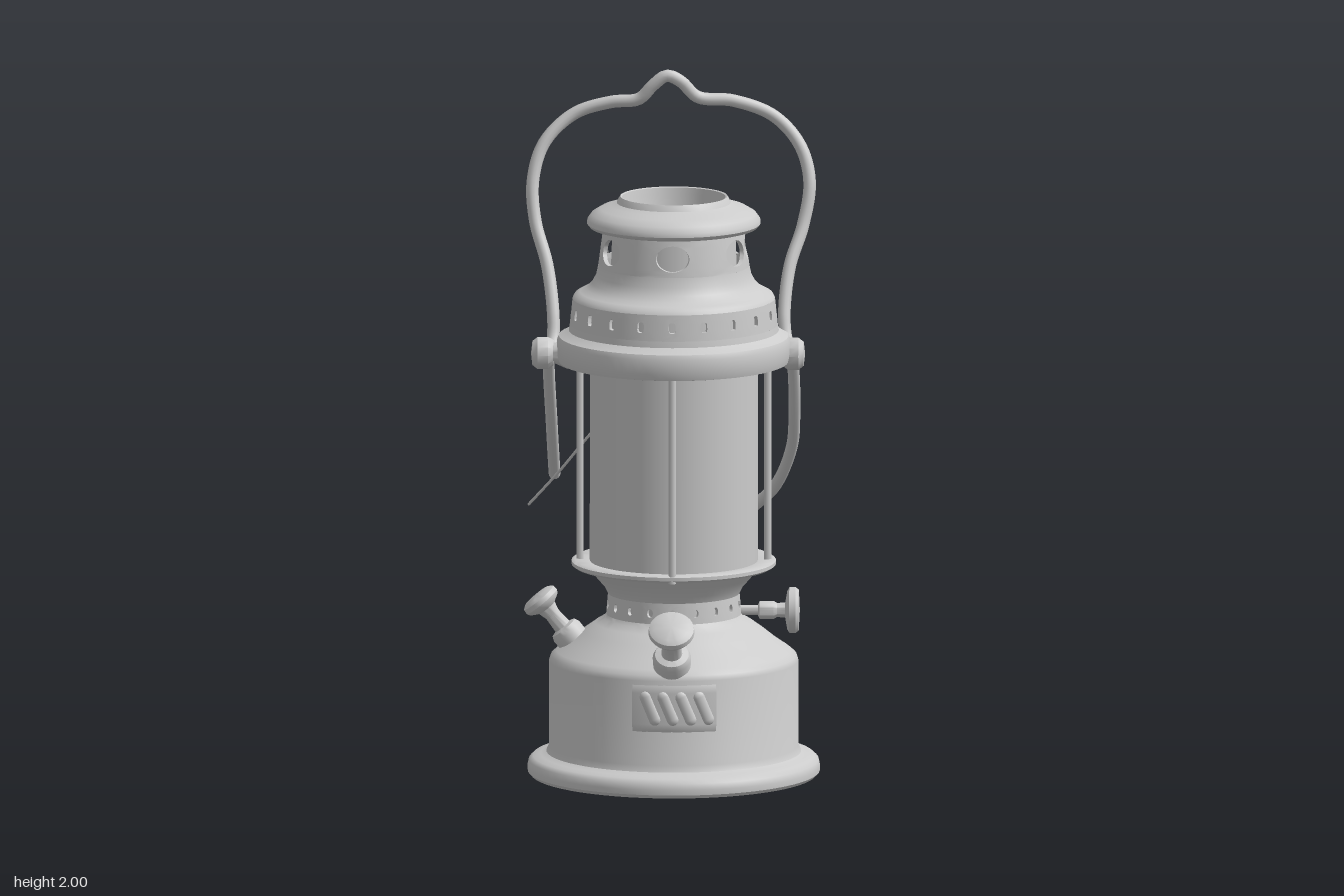
import * as THREE from 'three';
import { toCreasedNormals } from 'three/addons/utils/BufferGeometryUtils.js';

const mat = new THREE.MeshStandardMaterial({ color: 0xcccccc, side: THREE.DoubleSide });

function add(parent, name, geo) {
  const mesh = new THREE.Mesh(geo, mat);
  mesh.name = name;
  parent.add(mesh);
  return mesh;
}

const vec2 = pts => pts.map(p => new THREE.Vector2(...p));

// Turned part from [radius, height] pairs
const turned = (pts, segments = 64) => toCreasedNormals(new THREE.LatheGeometry(vec2(pts), segments), 0.65);

// Round bar through [x, y, z] points, with rounded ends
function bar(parent, name, pts, r, steps) {
  const v = pts.map(p => new THREE.Vector3(...p));
  add(parent, name, new THREE.TubeGeometry(new THREE.CatmullRomCurve3(v), steps, r, 12));
  for (const end of [v[0], v[v.length - 1]])
    add(parent, name + 'End', new THREE.SphereGeometry(r, 12, 8)).position.copy(end);
}

// Conical wall pierced by rounded holes at the given angles (radians from +z towards +x)
function piercedBand(y0, y1, r0, r1, angles, halfW, halfH, power, n = 32) {
  const pos = [], idx = [], steps = 3, depth = 0.012;
  const midY = (y0 + y1) / 2, halfY = (y1 - y0) / 2;
  const radius = y => r0 + (r1 - r0) * (y - y0) / (y1 - y0);
  angles.forEach((a, k) => {
    const turn = Math.PI * 2, m = angles.length;
    const next = (angles[(k + 1) % m] - a + turn) % turn / 2;
    const prev = (a - angles[(k + m - 1) % m] + turn) % turn / 2;
    const base = pos.length / 3;
    for (let s = 0; s <= steps + 1; s++) {
      const t = Math.min(s / steps, 1);
      for (let i = 0; i <= n; i++) {
        const c = Math.cos(i / n * turn), d = Math.sin(i / n * turn);
        const big = Math.max(Math.abs(c), Math.abs(d));
        const round = (Math.abs(c) ** power + Math.abs(d) ** power) ** (1 / power);
        const outer = c / big * (c > 0 ? next : prev);
        const th = a + outer * (1 - t) + c / round * halfW / r0 * t;
        const y = midY + d / big * halfY * (1 - t) + d / round * halfH * t;
        const r = radius(y) - (s > steps ? depth : 0);
        pos.push(r * Math.sin(th), y, r * Math.cos(th));
        if (s && i) {
          const p = base + s * (n + 1) + i, q = p - n - 1;
          idx.push(q - 1, q, p, q - 1, p, p - 1);
        }
      }
    }
  });
  const geo = new THREE.BufferGeometry();
  geo.setAttribute('position', new THREE.Float32BufferAttribute(pos, 3));
  geo.setIndex(idx);
  return toCreasedNormals(geo, 0.65);
}

const ring = n => Array.from({ length: n }, (_, i) => i / n * Math.PI * 2);

export function createModel() {
  const model = new THREE.Group();
  model.name = 'lantern';
  // The body leans back very slightly
  const body = new THREE.Group();
  body.name = 'body';
  body.position.set(0.004, 0, 0.042);
  body.rotation.x = -0.01;
  model.add(body);

  // Hollow fuel tank with rolled foot, open underneath
  add(body, 'tank', turned([[0.362, 0.07], [0.372, 0.045], [0.385, 0.015],
    [0.395, 0.004], [0.408, 0.005], [0.417, 0.015], [0.418, 0.03], [0.414, 0.048], [0.402, 0.059], [0.38, 0.064],
    [0.364, 0.072], [0.356, 0.09], [0.356, 0.335], [0.351, 0.35], [0.335, 0.364], [0.3, 0.388],
    [0.26, 0.42], [0.225, 0.445], [0.2, 0.46], [0.193, 0.47]]));
  add(body, 'tankVents', piercedBand(0.47, 0.53, 0.193, 0.188, ring(18), 0.009, 0.012, 2, 16));
  add(body, 'burnerBowl', turned([[0.188, 0.53], [0.198, 0.55], [0.22, 0.575], [0.24, 0.6], [0.255, 0.612],
    [0.283, 0.608], [0.292, 0.614], [0.292, 0.624], [0.283, 0.629], [0.24, 0.625], [0, 0.625]]));
  add(body, 'burnerCore', new THREE.CylinderGeometry(0.13, 0.13, 0.17, 32)).position.y = 0.54;

  // Glass and its guard rods
  add(body, 'glass', new THREE.CylinderGeometry(0.24, 0.24, 0.6, 64, 1, true)).position.y = 0.92;
  for (const a of ring(4))
    add(body, 'guardRod', new THREE.CylinderGeometry(0.011, 0.011, 0.61, 10))
      .position.set(0.268 * Math.sin(a), 0.91, 0.28 * Math.cos(a));

  // Hood
  add(body, 'hoodSkirt', turned([[0, 1.215], [0.3, 1.215], [0.318, 1.2], [0.328, 1.202], [0.333, 1.22],
    [0.334, 1.262], [0.328, 1.276], [0.312, 1.284], [0.3, 1.292], [0.297, 1.31]]));
  add(body, 'hoodVents', piercedBand(1.31, 1.385, 0.297, 0.289, ring(20), 0.01, 0.015, 4, 16));
  add(body, 'hoodDome', turned([[0.289, 1.385], [0.283, 1.396], [0.268, 1.404], [0.25, 1.414], [0.234, 1.43],
    [0.222, 1.452], [0.216, 1.48]]));
  add(body, 'hoodLiner', new THREE.CylinderGeometry(0.262, 0.268, 0.12, 48, 1, true)).position.y = 1.345;
  const holes = [0, 60, 90, 120, 180, 240, 300].map(d => d * Math.PI / 180);
  add(body, 'chimneyNeck', piercedBand(1.48, 1.585, 0.216, 0.202, holes, 0.05, 0.037, 2));
  add(body, 'chimneyLiner', new THREE.CylinderGeometry(0.175, 0.18, 0.14, 48, 1, true)).position.y = 1.53;
  add(body, 'chimneyCap', turned([[0.202, 1.585], [0.225, 1.588], [0.24, 1.592], [0.248, 1.602], [0.247, 1.614],
    [0.235, 1.63], [0.21, 1.645], [0.18, 1.654], [0.163, 1.662], [0.157, 1.674], [0.153, 1.68], [0.148, 1.678],
    [0.145, 1.66], [0.14, 1.62], [0.132, 1.58], [0.118, 1.55], [0.09, 1.53], [0.05, 1.52], [0, 1.516]]));

  // Filler cap and the smaller pressure pump, both tilted outwards
  const capGeo = turned([[0, -0.04], [0.052, -0.04], [0.055, 0.035], [0.048, 0.05], [0.03, 0.055], [0.026, 0.1],
    [0.034, 0.125], [0.06, 0.138], [0.066, 0.148], [0.064, 0.162], [0.05, 0.17], [0, 0.174]], 32);
  for (const [name, angle, y, out, size] of [['fillerCap', 0, 0.373, 0.312, 1], ['pumpKnob', -Math.PI / 2, 0.388, 0.283, 0.85]]) {
    const holder = new THREE.Group();
    holder.name = name + 'Mount';
    holder.rotation.y = angle;
    body.add(holder);
    const cap = add(holder, name, capGeo);
    cap.position.set(0, y, out);
    cap.rotation.x = 0.69;
    cap.scale.set(size, 1, size);
  }

  // Control knob on a horizontal stem
  const knob = add(body, 'controlKnob', turned([[0, 0.15], [0.014, 0.15], [0.014, 0.24], [0.026, 0.245],
    [0.026, 0.285], [0.02, 0.295], [0.022, 0.318], [0.055, 0.324], [0.065, 0.33], [0.066, 0.348],
    [0.058, 0.357], [0, 0.36]], 32));
  knob.position.set(0, 0.478, -0.008);
  knob.rotation.z = -Math.PI / 2;

  // Softly raised louvred plate on the front of the tank
  add(body, 'louvrePlate', new THREE.LatheGeometry(
    vec2([[0.352, 0.18], [0.358, 0.192], [0.361, 0.21], [0.361, 0.3], [0.358, 0.318], [0.352, 0.33]]), 16, -0.32, 0.68));
  for (let i = 0; i < 4; i++) {
    const x = -0.062 + i * 0.051, a = Math.asin(x / 0.36);
    const slat = add(body, 'louvre', new THREE.CapsuleGeometry(0.017, 0.07, 6, 16));
    slat.position.set(x, 0.256, 0.358 * Math.cos(a));
    slat.rotation.set(0, a, 0.4);
    slat.scale.z = 0.6;
  }

  // Slim fin at the back of the tank
  const finShape = new THREE.Shape(vec2([[0.345, 0.06], [0.41, 0.06], [0.4, 0.09], [0.368, 0.21], [0.357, 0.335], [0.345, 0.335]]));
  const fin = add(body, 'backFin', new THREE.ExtrudeGeometry(finShape, { depth: 0.012, bevelEnabled: false }));
  fin.rotation.y = Math.PI / 2;
  fin.position.x = 0.022;

  // Bail pivots
  for (const [side, reach] of [[-1, 0.4], [1, 0.375]]) {
    const pivot = new THREE.Group();
    pivot.name = 'bailPivot';
    pivot.position.set(0, 1.222, 0.025);
    pivot.rotation.z = -side * Math.PI / 2;
    model.add(pivot);
    add(pivot, 'pivotStud', turned([[0, 0.29], [0.045, 0.3], [0.03, 0.335], [0.03, reach - 0.03], [0, reach - 0.03]], 24));
    add(pivot, 'pivotNut', turned([[0, reach - 0.06], [0.036, reach - 0.06], [0.047, reach - 0.045],
      [0.047, reach - 0.015], [0.035, reach], [0, reach + 0.004]], 12));
  }

  // Carrying bail
  bar(model, 'bail', [[-0.35, 1.21, 0.01], [-0.342, 1.25, -0.035], [-0.342, 1.32, -0.065], [-0.36, 1.45, -0.12],
    [-0.395, 1.57, -0.17], [-0.402, 1.68, -0.2], [-0.37, 1.785, -0.23], [-0.285, 1.865, -0.255],
    [-0.18, 1.9, -0.25], [-0.1, 1.912, -0.235], [-0.058, 1.955, -0.225], [-0.02, 1.982, -0.222],
    [0.02, 1.965, -0.225], [0.068, 1.918, -0.235], [0.17, 1.905, -0.25], [0.285, 1.86, -0.255],
    [0.36, 1.78, -0.23], [0.388, 1.68, -0.2], [0.37, 1.56, -0.17], [0.333, 1.45, -0.12],
    [0.318, 1.32, -0.065], [0.325, 1.25, -0.035], [0.345, 1.21, 0.01]], 0.018, 160);

  // Loose arms hanging back from the pivots, and a thin wire
  bar(model, 'rightArm', [[-0.35, 1.24, -0.02], [-0.355, 1.18, -0.08], [-0.35, 0.96, -0.29], [-0.345, 0.775, -0.485]], 0.017, 40);
  bar(model, 'leftArm', [[0.335, 1.24, -0.02], [0.343, 1.17, -0.075], [0.345, 1.02, -0.18], [0.335, 0.89, -0.28],
    [0.285, 0.76, -0.37], [0.22, 0.69, -0.42]], 0.017, 48);
  bar(model, 'wire', [[-0.15, 1.05, -0.16], [-0.24, 0.93, -0.27], [-0.33, 0.8, -0.385], [-0.418, 0.685, -0.487]], 0.004, 16);

  return model;
}
